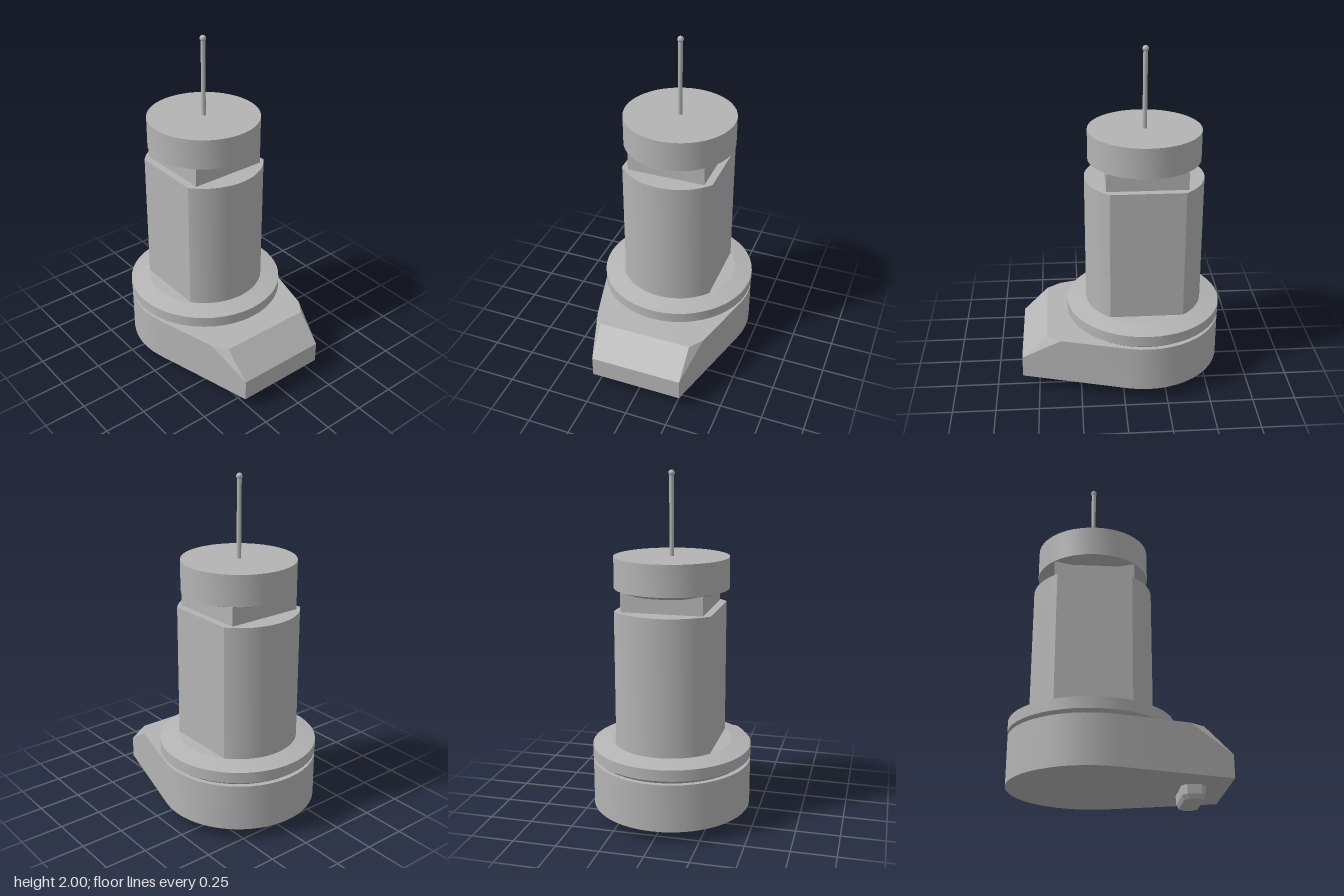
import * as THREE from 'three';
import { toCreasedNormals } from 'three/addons/utils/BufferGeometryUtils.js';
import { ConvexGeometry } from 'three/addons/geometries/ConvexGeometry.js';

const AXIS_X = -0.14; // the turned parts share this vertical axis

export function createModel() {
  const group = new THREE.Group();
  const metal = new THREE.MeshStandardMaterial({ color: 0xb4b4b4 });
  metal.name = 'grey metal';

  const add = (name, geometry, x = 0, y = 0) => {
    const mesh = new THREE.Mesh(geometry, metal);
    mesh.name = name;
    mesh.position.set(x, y, 0);
    group.add(mesh);
    return mesh;
  };
  const v = (x, y, z) => new THREE.Vector3(x, y, z);
  const hull = (points) => toCreasedNormals(new ConvexGeometry(points), 0.35);
  const turned = (profile) => toCreasedNormals(
    new THREE.LatheGeometry(profile.map(([r, y]) => new THREE.Vector2(r, y)), 48), 0.2);

  // Base: round heel tapering to a blunt nose with a sloped top
  const base = [];
  for (let i = 0; i < 48; i++) {
    const a = (i / 48) * Math.PI * 2;
    const x = AXIS_X + 0.458 * Math.cos(a);
    const z = 0.458 * Math.sin(a);
    base.push(v(x, 0.08, z), v(x, 0.355, z));
  }
  for (const s of [-1, 1]) {
    base.push(
      v(0.597, 0.08, s * 0.275), v(0.597, 0.207, s * 0.275),
      v(0.365, 0.355, s * 0.338), v(0.447, 0.355, s * 0.28));
  }
  add('base', hull(base));

  // Locating key under the nose, with chamfered corners and bottom
  const key = [];
  for (const sx of [-1, 1]) for (const sz of [-1, 1]) {
    for (const [y, inset] of [[0.09, 0], [0.03, 0.003], [0.005, 0.014]]) {
      key.push(
        v(0.405 + sx * (0.066 - inset), y, sz * (0.115 - inset)),
        v(0.405 + sx * (0.04 - inset), y, sz * (0.147 - inset)));
    }
  }
  add('locatingKey', hull(key));

  // Flange with bevelled rims
  add('flange', turned([
    [0, 0.355], [0.43, 0.355], [0.46, 0.378], [0.46, 0.442], [0.35, 0.465], [0, 0.465],
  ]), AXIS_X);

  // Barrel: cylinder with a flat on the front and on the back
  const half = Math.asin(0.273 / 0.346);
  const section = new THREE.Shape();
  section.absarc(0, 0, 0.346, -half, half, false);
  section.absarc(0, 0, 0.346, Math.PI - half, Math.PI + half, false);
  section.closePath();
  const barrel = new THREE.ExtrudeGeometry(section, { depth: 0.785, bevelEnabled: false, curveSegments: 20 });
  barrel.rotateX(-Math.PI / 2);
  add('barrel', toCreasedNormals(barrel, 0.35), AXIS_X, 0.46);

  // Square neck under the cap
  add('neck', new THREE.BoxGeometry(0.46, 0.16, 0.46), AXIS_X, 1.27);

  // Cap with a chamfered underside
  add('cap', turned([
    [0, 1.333], [0.27, 1.333], [0.325, 1.354], [0.325, 1.53], [0, 1.53],
  ]), AXIS_X);

  // Thin stylus and its ball tip
  add('stylus', new THREE.CylinderGeometry(0.013, 0.013, 0.46, 16), AXIS_X, 1.755);
  add('stylusTip', new THREE.SphereGeometry(0.018, 16, 12), AXIS_X, 1.982);

  return group;
}
